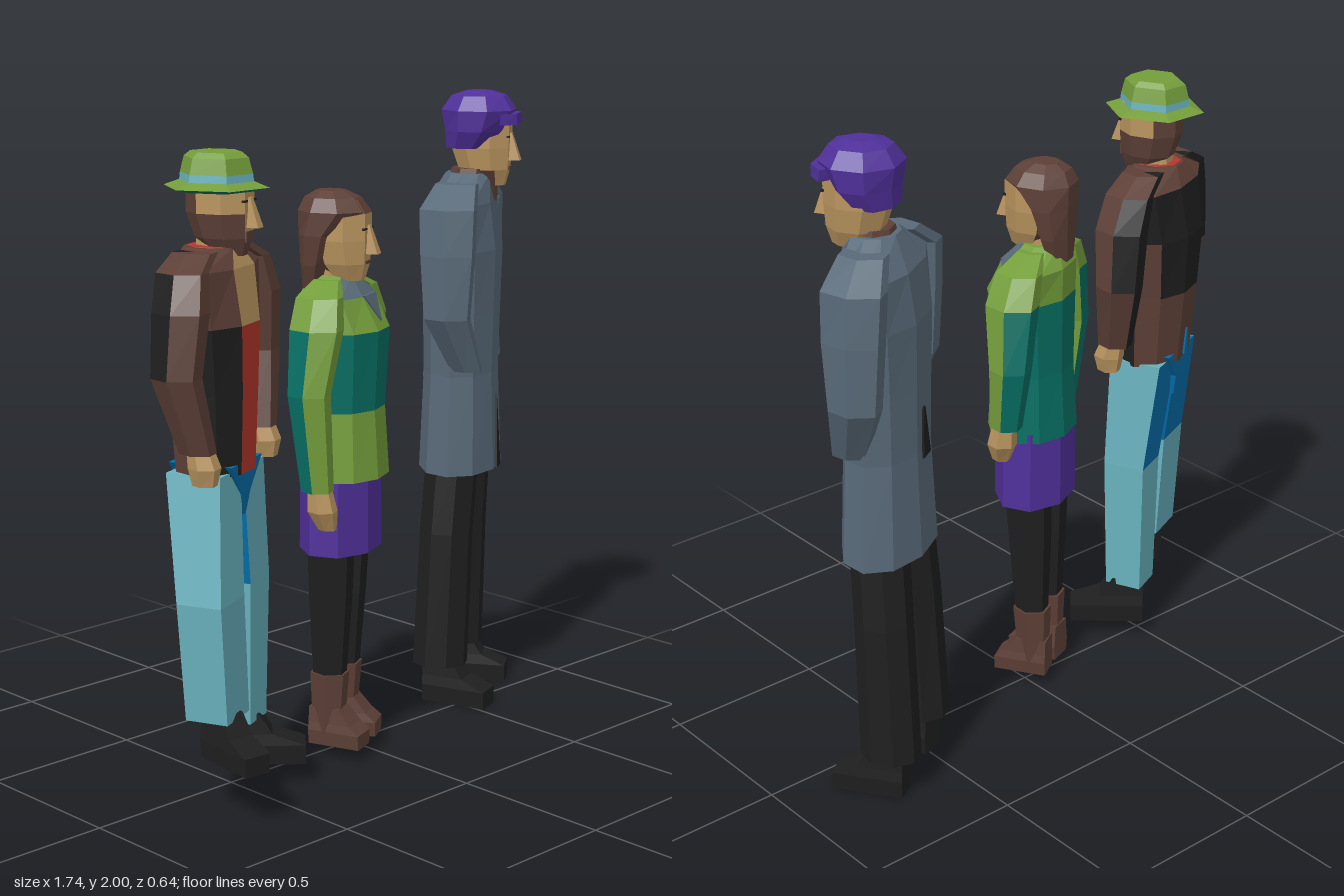
import * as THREE from 'three';

const palette = {
  brown: 0x5d4037, grey: 0x586978, purple: 0x50309a, green: 0x749e3b, teal: 0x066f64,
  cyan: 0x68b1bd, blue: 0x026daa, red: 0xb5372c, black: 0x1f1f1f, skin: 0xba955f,
};
const mats = {};

// Faceted loft through sections [x, y, z, halfWidth, halfDepth], bottom to top.
// Column 0 faces front; color is a palette name or a rule (row, column) => name.
function loft(parent, name, n, secs, color) {
  const f = n === 4 ? Math.SQRT2 : 1;
  const rings = secs.map(([x, y, z, rx, rz]) => Array.from({ length: n }, (_, k) => {
    const a = (k - 0.5) * 2 * Math.PI / n;
    return [x + f * rx * Math.sin(a), y, z + f * rz * Math.cos(a)];
  }));
  const pick = typeof color === 'string' ? () => color : color;
  const buckets = {};
  const tri = (key, ...p) => (buckets[key] ??= []).push(...p.flat());
  const last = secs.length - 1;
  for (let k = 0; k < n; k++) {
    const j = (k + 1) % n;
    tri(pick(-1, k), secs[0].slice(0, 3), rings[0][j], rings[0][k]);
    for (let i = 0; i < last; i++) {
      const [a, b, c, d] = [rings[i][k], rings[i][j], rings[i + 1][j], rings[i + 1][k]];
      tri(pick(i, k), a, b, c, a, c, d);
    }
    tri(pick(last, k), secs[last].slice(0, 3), rings[last][k], rings[last][j]);
  }
  const geo = new THREE.BufferGeometry(), pos = [], list = [];
  for (const key in buckets) {
    geo.addGroup(pos.length / 3, buckets[key].length / 3, list.length);
    list.push(mats[key]);
    for (const v of buckets[key]) pos.push(v);
  }
  geo.setAttribute('position', new THREE.Float32BufferAttribute(pos, 3));
  geo.computeVertexNormals();
  const mesh = new THREE.Mesh(geo, list.length > 1 ? list : list[0]);
  mesh.name = name;
  parent.add(mesh);
  return mesh;
}

function plate(parent, name, w, h, x, y, z, color) {
  const m = new THREE.Mesh(new THREE.BoxGeometry(w, h, 0.008), mats[color]);
  m.position.set(x, y, z);
  m.name = name;
  parent.add(m);
}

function group(parent, name, x, z, yaw) {
  const g = new THREE.Group();
  g.name = name;
  g.position.set(x, 0, z);
  g.rotation.y = yaw;
  parent.add(g);
  return g;
}

// Neck, head, nose, eyes and mouth; y is the chin height
function head(parent, x, y, z, color, mouth) {
  const g = group(parent, 'headGroup', x, z, 0);
  loft(g, 'neck', 6, [[0, y - 0.09, -0.02, 0.055, 0.06], [0, y + 0.07, -0.01, 0.05, 0.06]], 'skin');
  loft(g, 'head', 8, [[0, y, 0.025, 0.042, 0.055], [0, y + 0.05, 0.01, 0.068, 0.085],
    [0, y + 0.12, 0, 0.08, 0.1], [0, y + 0.2, 0, 0.08, 0.1], [0, y + 0.24, 0, 0.055, 0.07]], color);
  loft(g, 'nose', 4, [[0, y + 0.08, 0.104, 0.018, 0.022], [0, y + 0.165, 0.092, 0.009, 0.006]], 'skin');
  for (const s of [-1, 1]) plate(g, 'eye', 0.024, 0.006, s * 0.028, y + 0.155, 0.09, 'black');
  plate(g, 'mouth', 0.046, mouth, 0, y + 0.055, 0.09, 'brown');
}

// Shoe with a squared toe, turned by yaw about the ankle
function shoe(g, x, y, z, yaw, h, w, len, color) {
  const s = loft(g, 'shoe', 4, [[0, 0, len / 2 - 0.05, w * 0.9, len / 2], [0, h * 0.38, len / 2 - 0.05, w, len / 2],
    [0, h * 0.6, 0.02, w * 0.9, 0.07], [0, h, 0, w * 0.8, 0.05]], color);
  s.position.set(x, y, z);
  s.rotation.y = yaw;
}

// Mirrors sections across x for the given side
const side = (s, secs) => secs.map(([x, ...r]) => [s * x, ...r]);

function hatMan(root) {
  const g = group(root, 'manWithHat', -0.57, 0.03, 0.4);
  head(g, 0.01, 1.61, 0.02, (r, c) => (c >= 3 && c <= 5) || r < 1 || (r === 1 && c !== 0) ? 'brown' : 'skin', 0.03);
  // Hat
  const hat = group(g, 'hat', 0, 0.015, -0.38);
  loft(hat, 'hatBrim', 6, [[0, 1.79, 0, 0.1, 0.11], [0, 1.802, 0, 0.15, 0.16], [0, 1.82, 0, 0.1, 0.11]],
    r => (r < 1 ? 'teal' : 'green'));
  loft(hat, 'hatCrown', 6, [[0, 1.805, 0, 0.105, 0.116], [0, 1.84, 0, 0.1, 0.112],
    [0, 1.885, 0, 0.088, 0.1], [0, 1.9, 0, 0.07, 0.08]], r => (r === 0 ? 'cyan' : 'green'));
  // Open jacket over a red shirt
  loft(g, 'jacket', 10, [[0, 0.99, 0, 0.15, 0.11], [0, 1.23, -0.005, 0.165, 0.125], [0, 1.42, -0.008, 0.19, 0.132],
    [0, 1.58, -0.005, 0.22, 0.108], [0, 1.635, 0, 0.085, 0.08]], (r, c) => {
    if (c === 0) return r < 2 ? 'red' : 'skin';
    if (r === 2 && c >= 3 && c <= 7) return 'black';
    if (c >= 4 && c <= 6) return r === 1 ? 'black' : 'brown';
    return r < 2 && (c < 3 || c > 7) ? 'black' : 'brown';
  });
  loft(g, 'jacketVent', 4, [[-0.01, 1.0, -0.108, 0.016, 0.004], [0, 1.09, -0.115, 0.004, 0.004]], 'blue');
  loft(g, 'neckerchief', 8, [[0, 1.61, 0.005, 0.075, 0.085], [0, 1.637, 0.005, 0.068, 0.078]], 'red');
  for (const s of [-1, 1]) {
    loft(g, 'sleeve', 6, side(s, [[0.2, 1.08, 0.045, 0.045, 0.055], [0.255, 1.3, 0.01, 0.06, 0.075],
      [0.232, 1.48, 0.015, 0.064, 0.085], [0.2, 1.585, 0.005, 0.05, 0.08], [0.11, 1.63, 0, 0.05, 0.068]]), (r, c) => {
      const back = r > 0 && (c === 3 || (r < 3 && c === (s > 0 ? 2 : 4)));
      return back || (s > 0 && r === 0 && c === 3) ? 'black' : 'brown';
    });
    loft(g, 'hand', 6, side(s, [[0.2, 0.99, 0.065, 0.03, 0.037], [0.2, 1.04, 0.065, 0.044, 0.048],
      [0.2, 1.1, 0.05, 0.036, 0.038]]), 'skin');
  }
  // Jeans
  loft(g, 'jeansSeat', 4, [[0, 0.86, 0, 0.02, 0.085], [0, 0.93, 0, 0.03, 0.096], [0, 1.02, 0, 0.1, 0.1]], 'blue');
  const jeans = inner => (r, c) => (r === 1 && (c === inner || c === 2) ? 'blue' : 'cyan');
  loft(g, 'rightTrouser', 4, [[-0.13, 0.29, 0.06, 0.072, 0.066], [-0.145, 0.64, 0.05, 0.076, 0.07],
    [-0.078, 1.0, 0, 0.068, 0.085]], jeans(1));
  loft(g, 'leftTrouser', 4, [[0.112, 0.2, 0.015, 0.056, 0.06], [0.105, 0.64, 0.02, 0.064, 0.068],
    [0.075, 1.0, 0, 0.068, 0.085]], jeans(3));
  shoe(g, -0.13, 0.16, 0.075, -0.5, 0.15, 0.045, 0.22, 'black');
  shoe(g, 0.115, 0.06, 0.02, 0.45, 0.16, 0.048, 0.24, 'black');
}

function woman(root) {
  const g = group(root, 'woman', -0.07, 0.01, 0.45);
  head(g, -0.01, 1.485, 0.015, (r, c) => (r > 2 || (c >= 3 && c <= 5) ? 'brown' : 'skin'), 0.009);
  loft(g, 'hair', 8, [[-0.01, 1.45, -0.06, 0.06, 0.035], [-0.01, 1.53, -0.05, 0.088, 0.05],
    [-0.01, 1.62, -0.035, 0.1, 0.07], [-0.01, 1.69, 0, 0.1, 0.11], [-0.01, 1.73, -0.005, 0.075, 0.085],
    [-0.01, 1.75, -0.01, 0.04, 0.045]], 'brown');
  // Banded sweater, with a plain lower back and a pointed neckline
  loft(g, 'sweater', 10, [[0, 0.89, 0.025, 0.162, 0.135], [0, 1.1, 0.025, 0.15, 0.122], [0, 1.34, 0.03, 0.165, 0.13],
    [0, 1.44, 0.005, 0.17, 0.105], [0, 1.5, -0.005, 0.06, 0.065]], (r, c) => {
    if (r === 3 && (c < 2 || c > 8)) return 'grey';
    return r === 1 || (r === 0 && c >= 3 && c <= 7) ? 'teal' : 'green';
  });
  loft(g, 'neckline', 4, [[0, 1.365, 0.1425, 0.002, 0.004], [0, 1.443, 0.1055, 0.05, 0.004]], 'grey');
  for (const s of [-1, 1]) {
    const drop = s < 0 ? 0 : 0.09;
    loft(g, 'sleeve', 6, side(s, [[0.212, 0.88 + drop, 0.02, 0.045, 0.05], [0.225, 1.17, 0, 0.056, 0.066],
      [0.188, 1.36, 0.01, 0.062, 0.085], [0.15, 1.45, 0.005, 0.05, 0.075], [0.07, 1.49, 0, 0.03, 0.045]]), (r, c) => {
      const back = r < 2 && (c === 3 || c === (s > 0 ? 2 : 4));
      return back || (r === 1 && c === (s > 0 ? 5 : 1)) ? 'teal' : 'green';
    });
    loft(g, 'hand', 6, side(s, [[0.195, 0.76 + drop, 0.045, 0.022, 0.028], [0.21, 0.82 + drop, 0.035, 0.042, 0.046],
      [0.212, 0.9 + drop, 0.025, 0.034, 0.036]]), 'skin');
    // Leggings and boots
    loft(g, 'legging', 6, side(s, [[0.058, 0.24, 0, 0.047, 0.052], [0.062, 0.5, 0.005, 0.06, 0.068],
      [0.07, 0.75, 0.01, 0.066, 0.078]]), 'black');
    loft(g, 'bootShaft', 6, side(s, [[0.056, 0.08, -0.005, 0.046, 0.05], [0.058, 0.27, 0, 0.056, 0.062]]), 'brown');
    shoe(g, s * 0.056, 0.04, -0.005, s * 0.1, 0.12, 0.044, 0.17, 'brown');
  }
  loft(g, 'skirt', 8, [[0, 0.66, 0.015, 0.162, 0.12], [0, 0.92, 0.015, 0.155, 0.118]], 'purple');
}

function coatMan(root) {
  const g = group(root, 'manWithCoat', 0.618, -0.115, 0.55);
  head(g, 0.012, 1.7, 0.058, 'skin', 0.01);
  // Cap
  loft(g, 'cap', 8, [[0, 1.82, 0.015, 0.088, 0.07], [0, 1.875, 0.04, 0.115, 0.098], [0, 1.94, 0.05, 0.12, 0.122],
    [0, 1.985, 0.05, 0.085, 0.09], [0, 2.0, 0.05, 0.035, 0.04]], 'purple');
  loft(g, 'capVisor', 6, [[0.01, 1.895, 0.14, 0.085, 0.045], [0.01, 1.93, 0.135, 0.085, 0.05]], 'purple');
  // Long coat with vents and collar
  loft(g, 'coat', 10, [[0, 0.78, 0, 0.212, 0.13], [0, 1.1, 0, 0.182, 0.118], [0, 1.3, 0, 0.188, 0.122],
    [0, 1.5, 0, 0.205, 0.127], [0, 1.65, 0, 0.225, 0.108], [0, 1.74, 0.02, 0.08, 0.075]], 'grey');
  loft(g, 'frontVent', 4, [[0, 0.777, 0.1255, 0.032, 0.004], [0, 1.02, 0.1165, 0.002, 0.004]], 'black');
  loft(g, 'backVent', 4, [[-0.01, 1.07, -0.1145, 0.028, 0.004], [0.01, 1.23, -0.116, 0.006, 0.004]], 'black');
  loft(g, 'collar', 4, [[0, 1.65, 0.101, 0.003, 0.008], [0, 1.75, 0.05, 0.055, 0.06]], 'brown');
  loft(g, 'neckScarf', 8, [[0, 1.72, 0.025, 0.072, 0.072], [0, 1.755, 0.03, 0.064, 0.068]], 'brown');
  for (const s of [-1, 1]) {
    // Sleeve ending in the pocket
    loft(g, 'sleeve', 6, side(s, [[0.155, 1.12, 0.05, 0.035, 0.055], [0.23, 1.3, 0, 0.056, 0.08],
      [0.226, 1.5, 0, 0.06, 0.095], [0.216, 1.645, -0.002, 0.058, 0.1], [0.12, 1.715, 0.005, 0.05, 0.075]]), 'grey');
    loft(g, 'trouser', 8, side(s, [[0.127, 0.13, -0.035, 0.08, 0.092], [0.115, 0.58, -0.02, 0.082, 0.088],
      [0.098, 0.84, -0.005, 0.08, 0.088]]), 'black');
    shoe(g, s * 0.125, 0, -0.03, s < 0 ? -0.22 : 0.05, 0.15, 0.046, 0.22, 'black');
  }
}

export function createModel() {
  for (const key in palette) mats[key] = new THREE.MeshStandardMaterial({ name: key, color: palette[key] });
  const root = new THREE.Group();
  root.name = 'threeStandingPeople';
  hatMan(root);
  woman(root);
  coatMan(root);
  return root;
}
